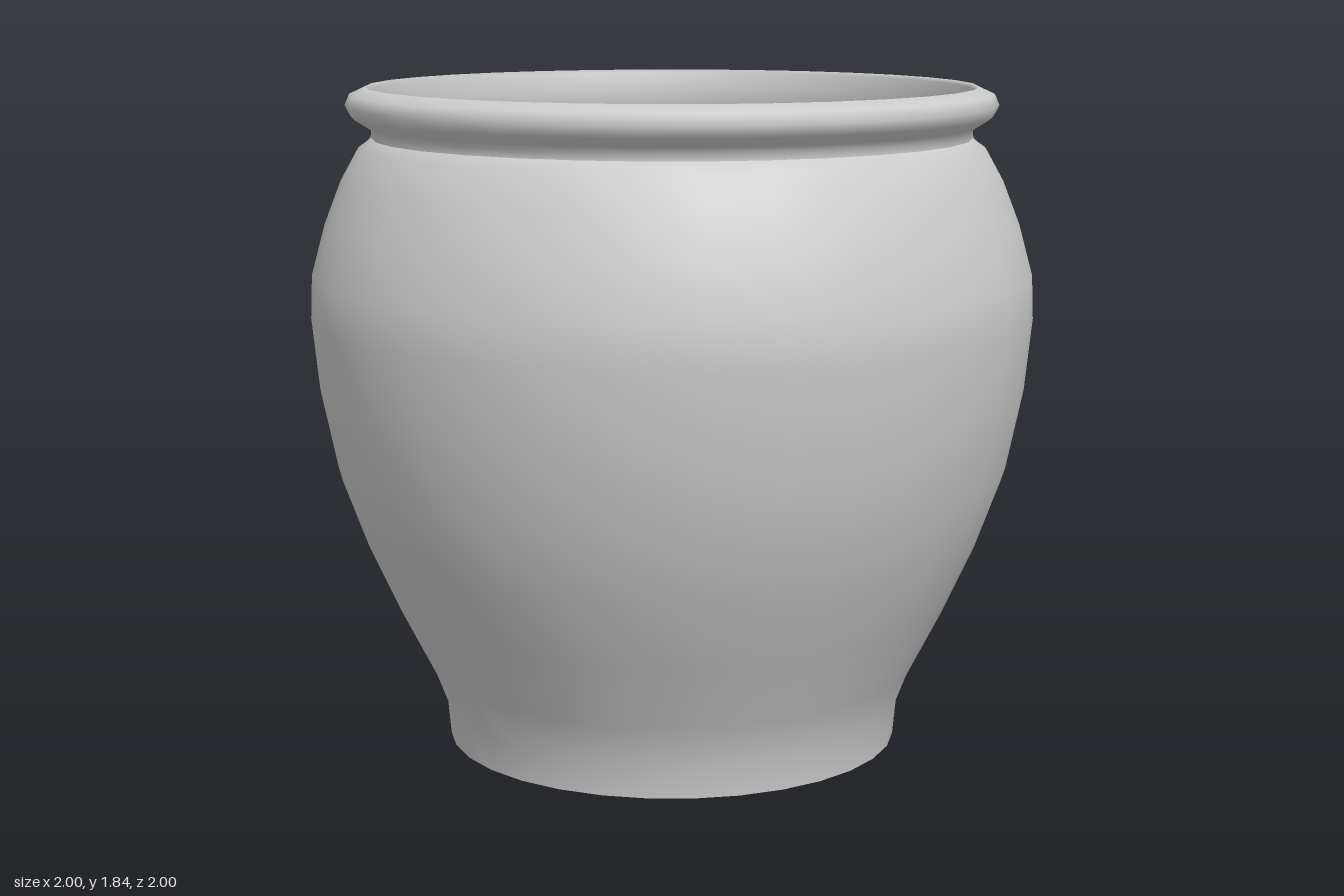
import * as THREE from 'three';

const SEGMENTS = 32;
const material = new THREE.MeshStandardMaterial({ color: 0xcccccc });

function addMesh(group, name, geometry, position = [0, 0, 0]) {
  const mesh = new THREE.Mesh(geometry, material);
  mesh.name = name;
  mesh.position.set(...position);
  group.add(mesh);
  return mesh;
}

const lathe = (profile) =>
  new THREE.LatheGeometry(profile.map(([r, y]) => new THREE.Vector2(r, y)), SEGMENTS);

// Soft hill (or hollow, if height is negative) on the soil
const mound = (x, z, cx, cz, height, width) =>
  height * Math.exp(-((x - cx) ** 2 + (z - cz) ** 2) / (width * width));

function soilHeight(x, z) {
  return 0.006 * Math.sin(5 * x + 1) * Math.cos(4 * z)
    + mound(x, z, -0.1, -0.85, 0.04, 0.12)
    + mound(x, z, -0.32, -0.8, -0.03, 0.13)
    + mound(x, z, 0.32, 0.77, 0.035, 0.14);
}

export function createModel() {
  const pot = new THREE.Group();
  pot.name = 'plantPot';

  // Outer wall, from foot to neck
  addMesh(pot, 'body', lathe([
    [0.633, 0], [0.642, 0.1], [0.684, 0.21], [0.78, 0.4], [0.866, 0.59],
    [0.935, 0.78], [0.98, 1.0], [1.0, 1.2], [0.995, 1.32], [0.957, 1.46],
    [0.91, 1.58], [0.86, 1.67], [0.825, 1.695],
  ]));

  // Rolled rim, continuing over the top and down inside to the soil
  addMesh(pot, 'rim', lathe([
    [0.825, 1.695], [0.825, 1.715], [0.84, 1.73], [0.88, 1.755], [0.895, 1.785],
    [0.882, 1.815], [0.84, 1.835], [0.83, 1.825], [0.823, 1.775], [0.82, 1.71],
    [0.85, 1.665], [0.89, 1.58], [0.9, 1.53],
  ]));

  // Flat underside
  const base = new THREE.CircleGeometry(0.633, SEGMENTS).rotateX(Math.PI / 2);
  addMesh(pot, 'base', base);

  // Slightly uneven soil
  const soil = new THREE.RingGeometry(0.001, 0.885, SEGMENTS, 8).rotateX(-Math.PI / 2);
  const p = soil.attributes.position;
  for (let i = 0; i < p.count; i++) p.setY(i, soilHeight(p.getX(i), p.getZ(i)));
  soil.computeVertexNormals();
  addMesh(pot, 'soil', soil, [0, 1.6, 0]);

  // Half-sunk pebbles: x, z, radius, turn
  const pebbles = [
    [-0.785, -0.17, 0.09, 0.3],
    [0.62, 0.22, 0.07, 1.1],
    [0.6, 0.305, 0.046, 2.0],
  ];
  pebbles.forEach(([x, z, radius, turn], i) => {
    const stone = addMesh(pot, `pebble${i + 1}`, new THREE.SphereGeometry(radius, 7, 5), [x, 1.615, z]);
    stone.scale.y = 0.8;
    stone.rotation.set(0.3, turn, 0.2);
  });

  return pot;
}
